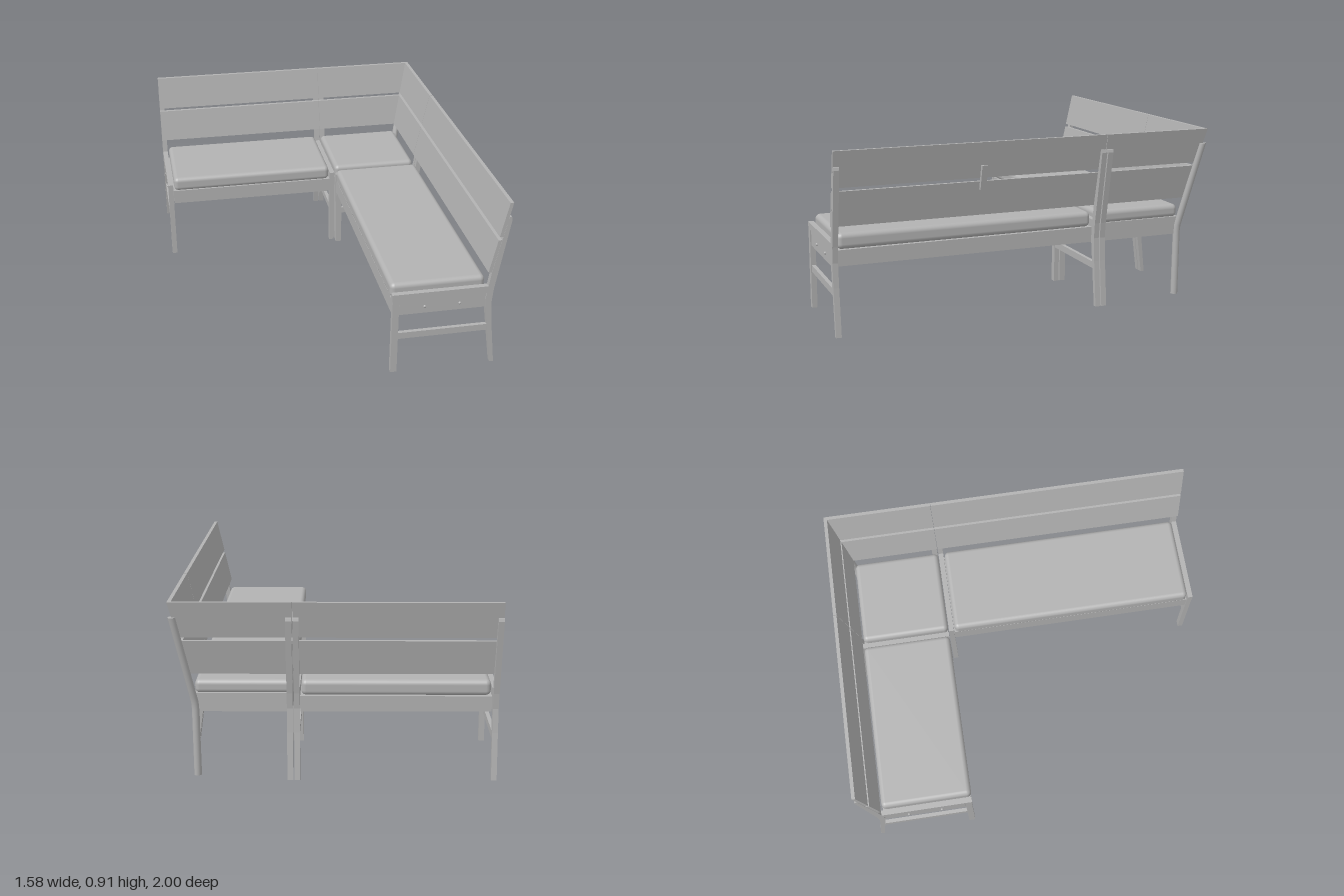
import * as THREE from 'three';
import { RoundedBoxGeometry } from 'three/addons/geometries/RoundedBoxGeometry.js';

const grey = new THREE.MeshStandardMaterial({ color: 0xb2b2b2 });
grey.name = 'grey';

// Reflection over the corner's diagonal: turns the side wing into the back wing
const C = -0.21;
const swap = new THREE.Matrix4().set(0, 0, -1, C, 0, 1, 0, 0, -1, 0, 0, C, 0, 0, 0, 1);

function reflect(geo) {
  const g = geo.index ? geo.toNonIndexed() : geo;
  g.applyMatrix4(swap);
  for (const a of Object.values(g.attributes)) {
    const n = a.itemSize;
    for (let i = 0; i < a.count; i += 3) {
      for (let k = 0; k < n; k++) {
        const p = (i + 1) * n + k, q = (i + 2) * n + k;
        [a.array[p], a.array[q]] = [a.array[q], a.array[p]];
      }
    }
  }
  return g;
}

// Box given by its limits
function box(x0, x1, y0, y1, z0, z1) {
  return new THREE.BoxGeometry(x1 - x0, y1 - y0, z1 - z0)
    .translate((x0 + x1) / 2, (y0 + y1) / 2, (z0 + z1) / 2);
}

function cushion(x0, x1, y0, y1, z0, z1) {
  return new RoundedBoxGeometry(x1 - x0, y1 - y0, z1 - z0, 4, 0.025)
    .translate((x0 + x1) / 2, (y0 + y1) / 2, (z0 + z1) / 2);
}

// Outline in x and y, extruded from z0 to z1
function prism(points, z0, z1) {
  const shape = new THREE.Shape(points.map(([x, y]) => new THREE.Vector2(x, y)));
  return new THREE.ExtrudeGeometry(shape, { depth: z1 - z0, bevelEnabled: false }).translate(0, 0, z0);
}

// Leaning backrest: front face position at a height
const lean = (y) => 0.69 + 0.218 * (y - 0.535);
const BOARD = 0.018;

function board(y0, y1, z0, z1, mitre) {
  const g = prism([[lean(y0), y0], [lean(y0) + BOARD, y0], [lean(y1) + BOARD, y1], [lean(y1), y1]], z0, z1);
  if (mitre) {
    const p = g.attributes.position;
    for (let i = 0; i < p.count; i++) {
      if (p.getZ(i) < z0 + 1e-4) p.setZ(i, C - p.getX(i));
    }
    g.computeVertexNormals();
  }
  return g;
}

const POST = [[0.735, 0], [0.755, 0], [0.728, 0.24], [0.719, 0.36], [0.726, 0.44],
  [0.79, 0.82], [0.786, 0.835], [0.774, 0.835], [0.71, 0.54], [0.686, 0.38], [0.69, 0.33]];
const JOINT = -0.415;

export function createModel() {
  const model = new THREE.Group();
  model.name = 'cornerBench';

  // One wing; the side wing is built directly, the back wing is reflected
  function wing(name, end, mirrored) {
    const group = new THREE.Group();
    group.name = name;
    model.add(group);
    const add = (part, geo) => {
      const mesh = new THREE.Mesh(mirrored ? reflect(geo) : geo, grey);
      mesh.name = part;
      group.add(mesh);
    };

    // Seat box and cushion
    const a = JOINT + 0.03, b = end - 0.03;
    add('seatBox', box(0.212, 0.69, 0.335, 0.415, a, b));
    add('seatCushion', cushion(0.205, 0.69, 0.415, 0.495, a + 0.005, b - 0.005));

    // Leg frames at both ends
    for (const z of [JOINT + 0.001, end - 0.028]) {
      const z1 = z + 0.028;
      add('frontLeg', box(0.21, 0.243, 0, 0.418, z, z1));
      add('backPost', prism(POST, z, z1));
      add('topRail', box(0.207, 0.7, 0.418, 0.455, z, z1));
      add('endApron', box(0.245, 0.69, 0.335, 0.415, z + 0.004, z1 - 0.006));
      add('stretcher', box(0.243, 0.725, 0.195, 0.23, z + 0.004, z1 - 0.004));
    }
    for (const x of [0.375, 0.555]) {
      add('bolt', new THREE.SphereGeometry(0.008, 10, 8).translate(x, 0.372, end - 0.006));
    }

    // Post on the corner side of the joint
    add('cornerSidePost', prism(POST, JOINT - 0.034, JOINT - 0.005));

    // Two backrest boards, split at the joint and mitred in the corner
    for (const [y0, y1] of [[0.535, 0.712], [0.73, 0.912]]) {
      add('backBoard', board(y0, y1, JOINT + 0.001, end));
      add('cornerBackBoard', board(y0, y1, -0.9, JOINT - 0.001, true));
    }
    return add;
  }

  const addSide = wing('sideWing', 1, false);
  wing('backWing', 0.58, true);

  // Small clip joining the boards behind the side wing
  const clipX = (y) => lean(y) + BOARD;
  addSide('boardClip', prism([[clipX(0.67), 0.67], [clipX(0.67) + 0.018, 0.67],
    [clipX(0.795) + 0.018, 0.795], [clipX(0.795), 0.795]], 0.23, 0.26));

  // Corner seat
  const corner = new THREE.Group();
  corner.name = 'cornerSeat';
  model.add(corner);
  const addCorner = (part, geo) => {
    const mesh = new THREE.Mesh(geo, grey);
    mesh.name = part;
    corner.add(mesh);
  };
  addCorner('cornerBox', box(0.213, 0.69, 0.335, 0.43, -0.9, -0.423));
  addCorner('cornerCushion', cushion(0.207, 0.688, 0.425, 0.495, -0.898, -0.417));
  addCorner('cornerFrontLeg', box(0.21, 0.243, 0, 0.42, -0.453, -0.42));

  // Rounded corner post: upright below, leaning along the diagonal above
  const post = new THREE.CylinderGeometry(0.018, 0.019, 0.835, 16, 24).translate(0, 0.4175, 0);
  const p = post.attributes.position;
  for (let i = 0; i < p.count; i++) {
    const d = 0.687 + Math.max(0, p.getY(i) - 0.37) * 0.185;
    p.setX(i, p.getX(i) + d);
    p.setZ(i, p.getZ(i) + C - d);
  }
  post.computeVertexNormals();
  addCorner('cornerPost', post);

  return model;
}
